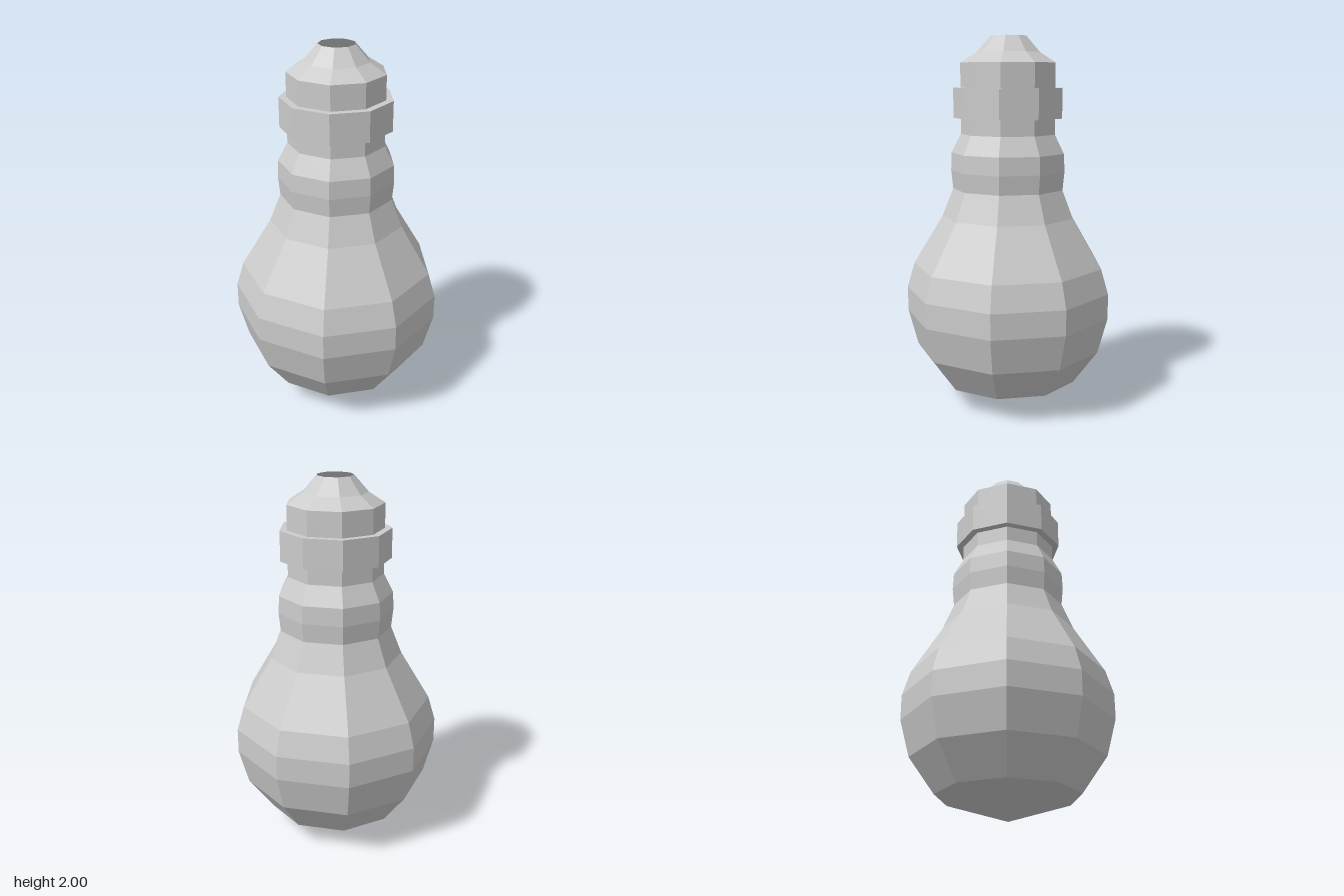
import * as THREE from 'three';

const SIDES = 9;

export function createModel() {
  const group = new THREE.Group();
  const solid = new THREE.MeshStandardMaterial({ color: 0xcccccc, flatShading: true });
  const shell = new THREE.MeshStandardMaterial({ color: 0xcccccc, flatShading: true, side: THREE.DoubleSide });

  // Nine-sided turned part from [radius, height] pairs listed bottom to top, one corner facing back
  function turned(name, profile, material = solid) {
    const points = profile.map(([r, y]) => new THREE.Vector2(r, y));
    const mesh = new THREE.Mesh(new THREE.LatheGeometry(points, SIDES, Math.PI), material);
    mesh.name = name;
    mesh.position.z = 0.017; // centres the odd-sided outline
    group.add(mesh);
  }

  // Glass bulb with a pointed bottom and a bulging neck
  turned('glassBulb', [
    [0, 0], [0.376, 0.125], [0.51, 0.31], [0.562, 0.505], [0.562, 0.64], [0.522, 0.775],
    [0.362, 1.04], [0.303, 1.19], [0.313, 1.29], [0.309, 1.385], [0.258, 1.485],
  ]);

  // Straight socket, closed on top
  turned('socket', [[0.258, 1.485], [0.258, 1.86], [0, 1.86]]);

  // Raised band around the socket
  turned('collar', [[0.258, 1.57], [0.297, 1.57], [0.297, 1.73], [0.258, 1.73]]);

  // Tapering cap, open at the tip
  turned('cap', [[0.258, 1.86], [0.172, 1.915], [0.097, 2]], shell);

  return group;
}
